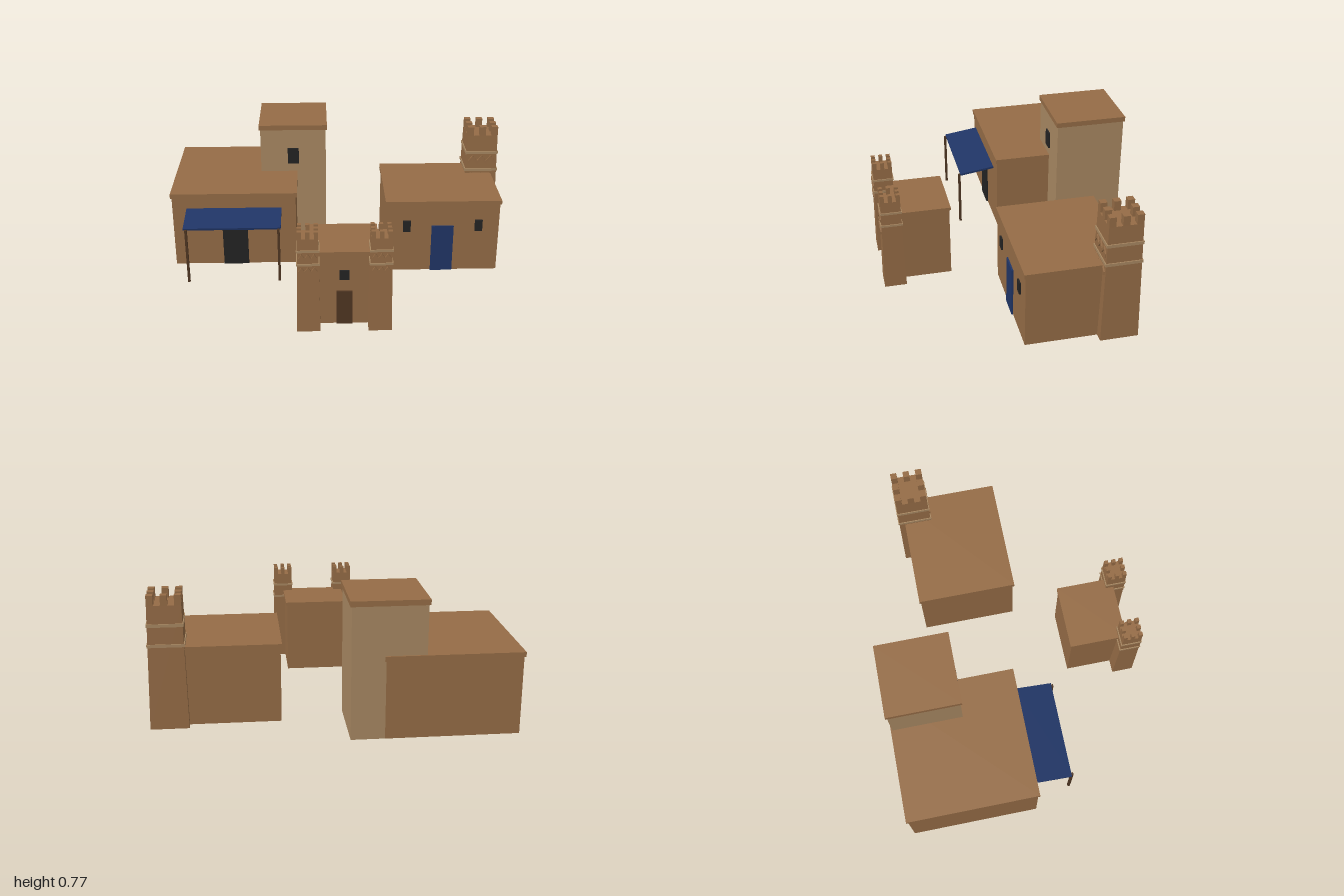
import * as THREE from 'three';

const material = (name, color) => {
  const m = new THREE.MeshStandardMaterial({ color });
  m.name = name;
  return m;
};

export function createModel() {
  const mud = material('mud brown', 0x956c46);
  const sand = material('pale sand', 0xa88862);
  const blue = material('deep blue', 0x203566);
  const dark = material('dark opening', 0x232323);
  const timber = material('timber', 0x4f3622);

  const model = new THREE.Group();
  model.name = 'mudBrickVillage';

  const group = (name, parent = model) => {
    const g = new THREE.Group();
    g.name = name;
    parent.add(g);
    return g;
  };

  // Box given by its minimum and maximum on each axis
  const box = (parent, name, mat, x0, x1, y0, y1, z0, z1) => {
    const mesh = new THREE.Mesh(new THREE.BoxGeometry(x1 - x0, y1 - y0, z1 - z0), mat);
    mesh.position.set((x0 + x1) / 2, (y0 + y1) / 2, (z0 + z1) / 2);
    mesh.name = name;
    parent.add(mesh);
    return mesh;
  };

  // Flat-roofed house: the roof slab overhangs the walls by a small lip
  const house = (name, wall, x0, x1, z0, z1, wallTop, roofTop, lip = 0.008) => {
    const g = group(name);
    box(g, 'walls', wall, x0 + lip, x1 - lip, 0, wallTop, z0 + lip, z1 - lip);
    box(g, 'roof', mud, x0, x1, wallTop, roofTop, z0, z1);
    const front = z1 - lip;
    // Thin plate on the front wall
    g.userData.plate = (label, mat, a, b, y0, y1) =>
      box(g, label, mat, a, b, y0, y1, front, front + 0.0095);
    return g;
  };

  // Raised zigzag strip, made from an up-and-down outline
  const zigzag = (width, height, teeth) => {
    const stroke = height * 0.4, n = teeth * 2, lower = [], upper = [];
    for (let i = 0; i <= n; i++) {
      const x = -width / 2 + (width * i) / n;
      const y = i % 2 ? height - stroke : 0;
      lower.push(new THREE.Vector2(x, y));
      upper.unshift(new THREE.Vector2(x, y + stroke));
    }
    return new THREE.ExtrudeGeometry(new THREE.Shape([...lower, ...upper]),
      { depth: 0.009, bevelEnabled: false });
  };

  // Tapered square turret with bands, zigzags and a crenellated top
  const turret = (name, x, z, o) => {
    const g = group(name);
    g.position.set(x, 0, z);
    const half = (y) => o.base + (o.top - o.base) * (y / o.shaft);

    const shaftGeo = new THREE.CylinderGeometry(o.top * Math.SQRT2, o.base * Math.SQRT2, o.shaft, 4, 1)
      .rotateY(Math.PI / 4).toNonIndexed();
    shaftGeo.computeVertexNormals();
    const shaft = new THREE.Mesh(shaftGeo, mud);
    shaft.position.y = o.shaft / 2;
    shaft.name = 'shaft';
    g.add(shaft);

    for (const [y0, y1] of o.bands) {
      const h = half(y0) + 0.005;
      box(g, 'band', sand, -h, h, y0, y1, -h, h);
    }

    for (const [y0, y1] of o.zigzags) {
      const h = half((y0 + y1) / 2);
      const strip = new THREE.Mesh(zigzag(h * 1.75, y1 - y0, 3), mud);
      strip.position.set(0, y0, h - 0.002);
      strip.name = 'zigzag';
      g.add(strip);
    }

    // Eight merlons around the rim
    const unit = (o.top * 2) / 5;
    for (let i = -1; i <= 1; i++) {
      for (let k = -1; k <= 1; k++) {
        if (!i && !k) continue;
        const cx = i * unit * 2, cz = k * unit * 2;
        box(g, 'merlon', mud, cx - unit / 2, cx + unit / 2, o.shaft, o.height,
          cz - unit / 2, cz + unit / 2);
      }
    }
  };

  // Large house with a wide doorway
  const hall = house('largeHouse', mud, -1, -0.25, -0.76, -0.01, 0.44, 0.467);
  hall.userData.plate('doorway', dark, -0.7, -0.55, 0, 0.33);

  // Sloping awning on two posts
  const awning = group('awning');
  const drop = 0.03, reach = 0.21;
  const cloth = box(awning, 'canopy', blue, -0.907, -0.343, 0.348, 0.36, -0.0135, 0.1985);
  cloth.rotation.x = Math.atan2(drop, reach);
  for (const x of [-0.89, -0.356])
    box(awning, 'post', timber, x - 0.007, x + 0.007, 0, 0.338, 0.196, 0.21);

  // Tall house rising from the corner of the large house
  const tall = house('tallHouse', sand, -0.482, -0.065, -0.759, -0.339, 0.74, 0.77);
  tall.userData.plate('window', dark, -0.308, -0.24, 0.52, 0.62);

  // House with a blue door and two windows
  const home = house('blueDoorHouse', mud, 0.27, 0.952, -0.472, 0.104, 0.43, 0.455);
  home.userData.plate('door', blue, 0.545, 0.675, 0, 0.295);
  for (const x of [0.375, 0.8]) home.userData.plate('window', dark, x, x + 0.045, 0.26, 0.33);

  // Gatehouse
  const gate = house('gatehouse', mud, -0.178, 0.2, 0.35, 0.684, 0.425, 0.442);
  gate.userData.plate('door', timber, -0.034, 0.054, 0, 0.203);
  gate.userData.plate('window', dark, -0.018, 0.036, 0.275, 0.33);

  // Turrets: a pair at the gatehouse, one large beside the blue door house
  for (const [name, x] of [['rightGateTurret', -0.184], ['leftGateTurret', 0.201]])
    turret(name, x, 0.694, {
      base: 0.063, top: 0.055, shaft: 0.553, height: 0.594,
      bands: [[0.4, 0.412], [0.477, 0.489]],
      zigzags: [[0.352, 0.392], [0.428, 0.47]],
    });
  turret('largeTurret', 0.891, -0.409, {
    base: 0.106, top: 0.092, shaft: 0.7, height: 0.755,
    bands: [[0.469, 0.486], [0.581, 0.599]],
    zigzags: [[0.41, 0.46], [0.515, 0.572]],
  });

  // Plate helpers are only needed while building
  model.traverse((o) => { o.userData = {}; });
  return model;
}
